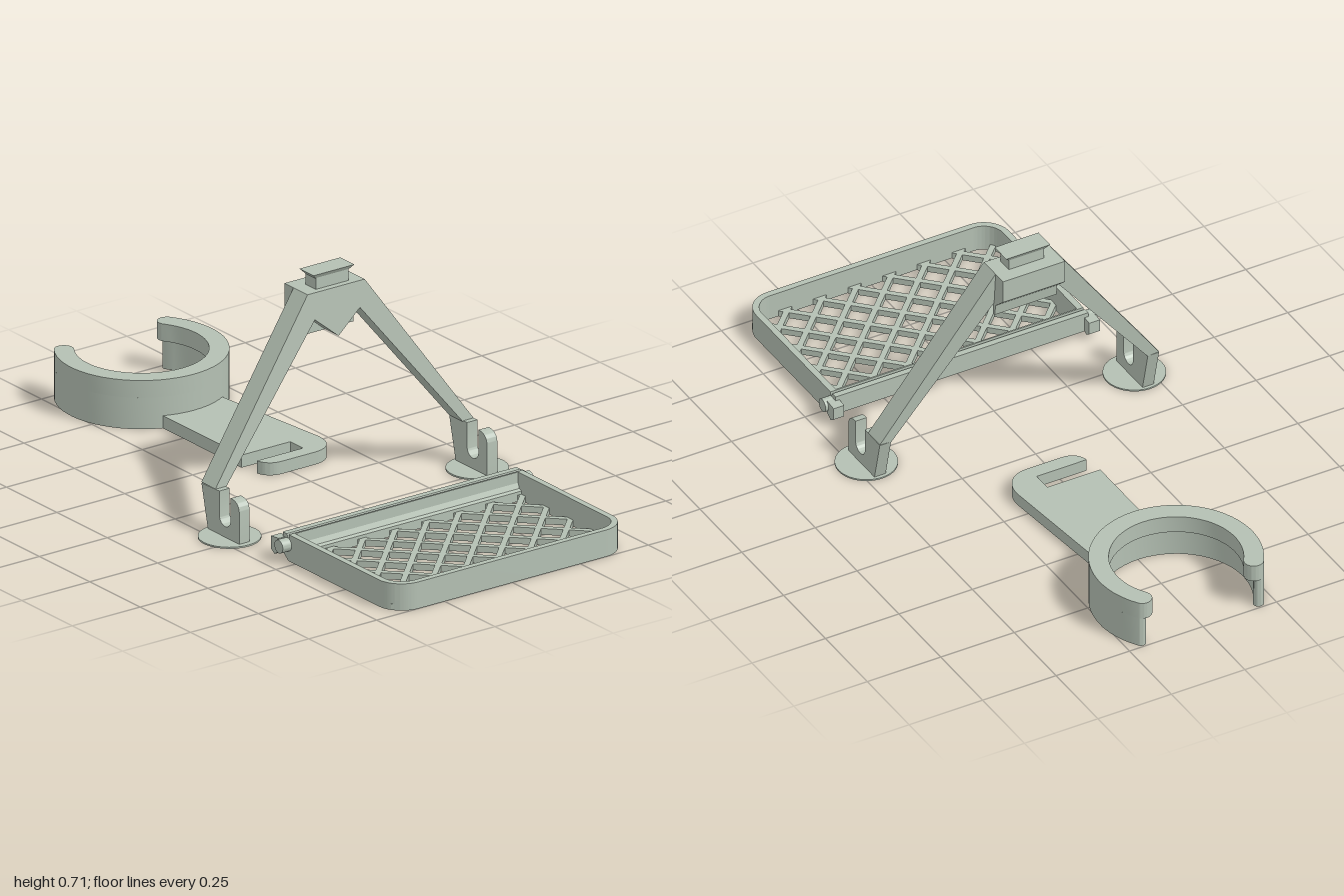
import * as THREE from 'three';
import { toCreasedNormals } from 'three/addons/utils/BufferGeometryUtils.js';

const sage = new THREE.MeshStandardMaterial({ color: 0xb4c0b3 });
sage.name = 'sage';

const extrude = (shape, depth) =>
  new THREE.ExtrudeGeometry(shape, { depth, bevelEnabled: false, curveSegments: 20 });
const polygon = (pts) => new THREE.Shape(pts.map(([x, y]) => new THREE.Vector2(x, y)));

function add(group, name, geometry) {
  const mesh = new THREE.Mesh(toCreasedNormals(geometry, 0.5), sage);
  mesh.name = name;
  group.add(mesh);
  return mesh;
}

function box(group, name, x0, x1, y0, y1, z0, z1) {
  const g = new THREE.BoxGeometry(x1 - x0, y1 - y0, z1 - z0);
  return add(group, name, g.translate((x0 + x1) / 2, (y0 + y1) / 2, (z0 + z1) / 2));
}

// Plan shape (x, -z) raised from y0 to y1
const plan = (shape, y0, y1) => extrude(shape, y1 - y0).rotateX(-Math.PI / 2).translate(0, y0, 0);

// Open ring with rounded ends, gap facing -x
function openRing(inner, outer, end) {
  const s = new THREE.Shape();
  const mid = (inner + outer) / 2, r = (outer - inner) / 2;
  const c = Math.cos(end) * mid, d = Math.sin(end) * mid;
  s.absarc(0, 0, outer, -end, end, false);
  s.absarc(c, d, r, end, end + Math.PI, false);
  s.absarc(0, 0, inner, end, -end, true);
  s.absarc(c, -d, r, Math.PI - end, 2 * Math.PI - end, false);
  return s;
}

function createHolder() {
  const g = new THREE.Group();
  g.name = 'ringHolder';
  // Thin lower wall and wider upper lip
  add(g, 'ringWall', plan(openRing(0.228, 0.26, 2.18), 0, 0.1).translate(-0.84, 0, 0));
  add(g, 'ringLip', plan(openRing(0.2, 0.26, 2.17), 0.1, 0.155).translate(-0.84, 0, 0));
  // Tapered arm with a hooked end
  const s = new THREE.Shape();
  s.moveTo(-0.605, -0.1);
  s.lineTo(-0.21, -0.1);
  s.lineTo(-0.21, 0.08);
  s.lineTo(-0.147, 0.08);
  s.lineTo(-0.147, -0.09);
  s.quadraticCurveTo(-0.1, -0.08, -0.1, -0.03);
  s.lineTo(-0.1, 0.09);
  s.bezierCurveTo(-0.1, 0.14, -0.14, 0.178, -0.2, 0.173);
  s.lineTo(-0.62, 0.13);
  s.lineTo(-0.6, 0);
  add(g, 'arm', plan(s, 0, 0.04));
  return g;
}

function createFrame() {
  const g = new THREE.Group();
  g.name = 'archFrame';
  // Two splayed legs, leaning towards the feet
  const half = [[0.105, 0.66], [0.475, 0.143], [0.436, 0.14], [0.083, 0.577]];
  const outline = [...half, [0, 0.508], ...half.map(([z, y]) => [-z, y]).reverse()];
  const legs = extrude(polygon(outline), 0.07).rotateY(Math.PI / 2).translate(0.055, 0, 0);
  const p = legs.attributes.position;
  for (let i = 0; i < p.count; i++) p.setX(i, p.getX(i) + (0.66 - p.getY(i)) * 0.08);
  legs.computeVertexNormals();
  add(g, 'legs', legs);
  // Head block with a chamfered underside
  const head = polygon([[0.01, 0.66], [0.01, 0.585], [0.055, 0.545], [0.06, 0.508],
    [0.07, 0.508], [0.07, 0.66]]);
  add(g, 'headBlock', extrude(head, 0.21).translate(0, 0, -0.105));
  box(g, 'neck', 0.055, 0.105, 0.65, 0.697, -0.06, 0.06);
  // Flared cap
  const cap = new THREE.BoxGeometry(0.07, 0.016, 0.15);
  const c = cap.attributes.position;
  for (let i = 0; i < c.count; i++) {
    if (c.getY(i) < 0) c.setXYZ(i, c.getX(i) * 0.7, c.getY(i), c.getZ(i) * 0.8);
  }
  cap.computeVertexNormals();
  add(g, 'cap', cap.translate(0.079, 0.702, 0));
  // Slotted foot brackets on round pads
  const b = new THREE.Shape();
  b.moveTo(0.13, 0);
  b.lineTo(0.285, 0);
  b.lineTo(0.285, 0.1);
  b.quadraticCurveTo(0.285, 0.138, 0.242, 0.138);
  b.lineTo(0.242, 0.067);
  b.absarc(0.214, 0.067, 0.028, 0, Math.PI, true);
  b.lineTo(0.186, 0.143);
  b.lineTo(0.097, 0.14);
  for (const side of [-1, 1]) {
    add(g, 'footBracket', extrude(b, 0.038).translate(0, 0, side * 0.456 - 0.019));
    const pad = new THREE.CylinderGeometry(0.094, 0.094, 0.005, 48);
    add(g, 'footPad', pad.translate(0.211, 0.0025, side * 0.456));
  }
  return g;
}

// Tray plan, rounded at the far corners
function trayOutline(x0, x1, h, r) {
  const s = new THREE.Shape();
  s.moveTo(x0, -h);
  s.lineTo(x1 - r, -h);
  s.absarc(x1 - r, -h + r, r, -Math.PI / 2, 0, false);
  s.absarc(x1 - r, h - r, r, 0, Math.PI / 2, false);
  s.lineTo(x0, h);
  return s;
}

function createTray() {
  const g = new THREE.Group();
  g.name = 'tray';
  const rim = trayOutline(0.47, 1, 0.43, 0.085);
  rim.holes.push(trayOutline(0.475, 0.98, 0.41, 0.065));
  add(g, 'trayRim', plan(rim, 0, 0.085));
  // Hinge-side wall with a sloping inner face
  const wall = polygon([[0.44, 0.022], [0.468, 0], [0.492, 0], [0.492, 0.03], [0.482, 0.035],
    [0.46, 0.085], [0.44, 0.085]]);
  add(g, 'hingeWall', extrude(wall, 0.86).translate(0, 0, -0.43));
  // Diagonal lattice floor: clip each line to the tray interior
  const x0 = 0.48, x1 = 0.985, h = 0.415, pitch = 0.118;
  for (const dir of [-1, 1]) {
    for (let k = -8; k <= 8; k++) {
      const zAt = (x) => dir * (x - (x0 + x1) / 2) + (k + 0.5) * pitch;
      const inside = (x) => Math.abs(zAt(x)) < h && x + Math.abs(zAt(x)) < 1.38;
      const xs = [];
      for (let x = x0; x <= x1; x += 0.0025) if (inside(x)) xs.push(x);
      if (xs.length < 6) continue;
      const a = xs[0], b = xs[xs.length - 1];
      const bar = new THREE.BoxGeometry((b - a) * Math.SQRT2, 0.02, 0.018);
      bar.rotateY(-dir * Math.PI / 4);
      add(g, 'latticeBar', bar.translate((a + b) / 2, 0.01, zAt((a + b) / 2)));
    }
  }
  // Hinge pins and catches
  const lug = polygon([[0.412, 0.028], [0.43, 0.016], [0.45, 0.03], [0.45, 0.072], [0.412, 0.068]]);
  for (const side of [-1, 1]) {
    const pin = new THREE.CylinderGeometry(0.021, 0.021, 0.045, 24).rotateX(Math.PI / 2);
    add(g, 'hingePin', pin.translate(0.463, 0.052, side * 0.44));
    add(g, 'hingeCatch', extrude(lug, 0.036).translate(0, 0, side * 0.435 - 0.018));
  }
  return g;
}

export function createModel() {
  const model = new THREE.Group();
  model.name = 'holderKit';
  model.add(createHolder(), createFrame(), createTray());
  return model;
}
